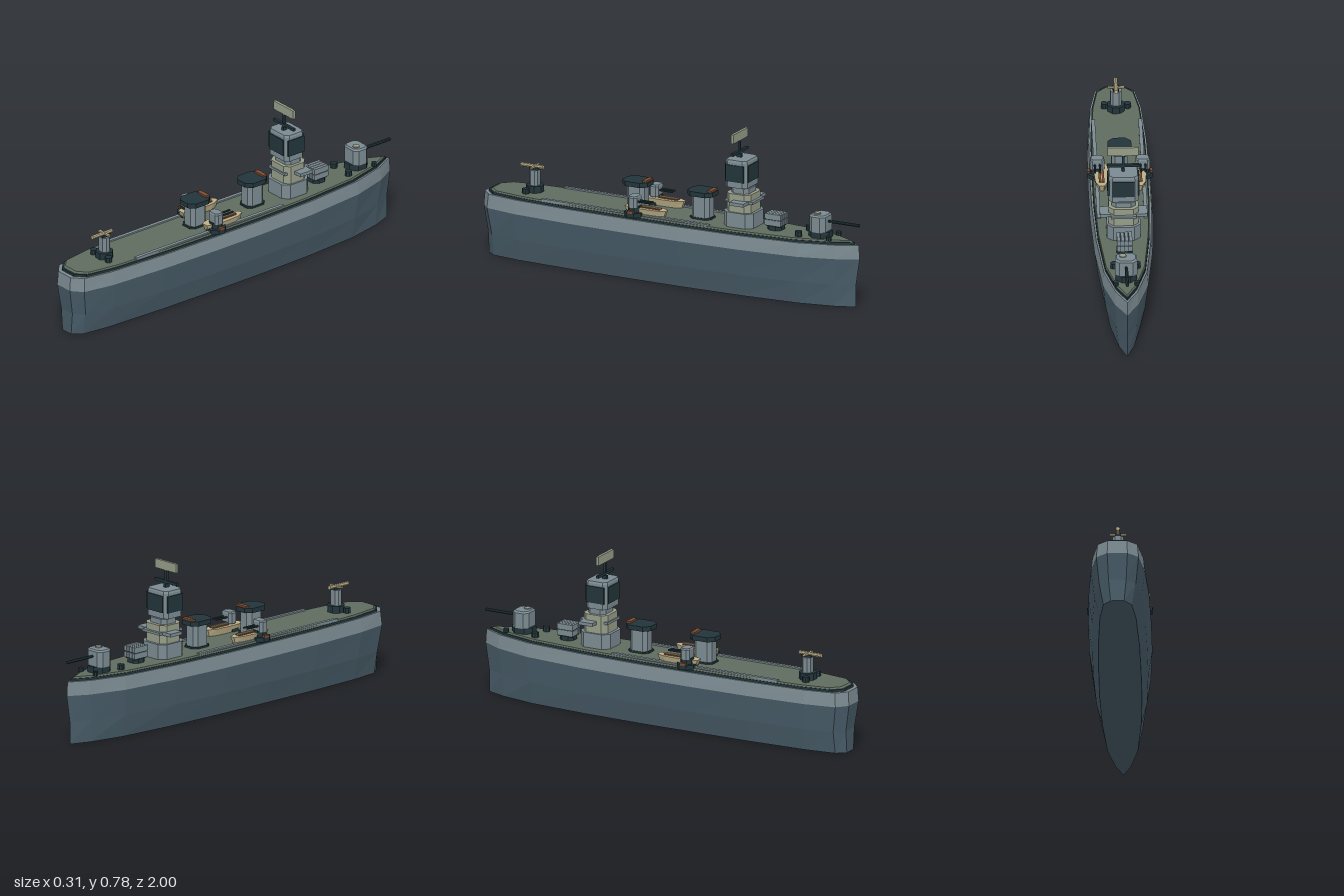
import * as THREE from 'three';

const mat = (name, color) => {
  const m = new THREE.MeshStandardMaterial({ color });
  m.name = name;
  return m;
};

// Solid lofted from one plan outline; levels are [y, scaleX, scaleZ]
function loft(outline, levels) {
  const pos = [];
  const n = outline.length;
  const at = ([y, sx, sz], i) => [outline[i % n][0] * sx, y, outline[i % n][1] * sz];
  const tri = (...p) => p.forEach((v) => pos.push(...v));
  const low = levels[0], high = levels[levels.length - 1];
  for (let i = 0; i < n; i++) {
    for (let k = 0; k < levels.length - 1; k++) {
      const a = at(levels[k], i), b = at(levels[k], i + 1);
      const c = at(levels[k + 1], i + 1), d = at(levels[k + 1], i);
      tri(a, d, b);
      tri(b, d, c);
    }
    tri([0, low[0], 0], at(low, i), at(low, i + 1));
    tri([0, high[0], 0], at(high, i + 1), at(high, i));
  }
  const g = new THREE.BufferGeometry();
  g.setAttribute('position', new THREE.Float32BufferAttribute(pos, 3));
  g.computeVertexNormals();
  return g;
}

// Mirror a starboard half outline (bow to stern) into a closed loop
const mirrored = (half) => [...half, ...half.filter((p) => p[0] > 0).reverse().map(([x, z]) => [-x, z])];

// Rectangle in plan with cut corners
const octagon = (w, d, c) => mirrored([
  [w / 2 - c, -d / 2], [w / 2, -d / 2 + c], [w / 2, d / 2 - c], [w / 2 - c, d / 2],
]);

export function createModel() {
  const root = new THREE.Group();
  root.name = 'warship';
  const M = {
    hull: mat('hull slate', 0x485c68),
    grey: mat('ship grey', 0x7b8b92),
    deck: mat('deck green', 0x5f6c5e),
    dark: mat('dark steel', 0x22353b),
    khaki: mat('khaki grey', 0x969d88),
    tan: mat('boat tan', 0xbdb08a),
    brown: mat('rust brown', 0x7d4c30),
  };

  const add = (parent, name, geo, m, x = 0, y = 0, z = 0) => {
    const mesh = new THREE.Mesh(geo, m);
    mesh.name = name;
    mesh.position.set(x, y, z);
    parent.add(mesh);
    return mesh;
  };
  const group = (name, x = 0, z = 0) => {
    const g = new THREE.Group();
    g.name = name;
    g.position.set(x, 0, z);
    root.add(g);
    return g;
  };
  // Box given by width, depth and bottom/top heights
  const box = (p, name, m, w, d, y0, y1, x = 0, z = 0) =>
    add(p, name, new THREE.BoxGeometry(w, y1 - y0, d), m, x, (y0 + y1) / 2, z);
  // Chamfered block with an optional narrower top
  const block = (p, name, m, w, d, c, y0, y1, x = 0, z = 0, top = 1) =>
    add(p, name, loft(octagon(w, d, c), [[y0, 1, 1], [y1, top, top]]), m, x, 0, z);
  // Upright faceted cylinder
  const drum = (p, name, m, r, y0, y1, x = 0, z = 0) =>
    add(p, name, loft(octagon(2 * r, 2 * r, r * 0.586), [[y0, 1, 1], [y1, 1, 1]]), m, x, 0, z);
  // Gun tube along z
  const barrel = (p, name, m, r, z0, z1, y, x = 0) => {
    const g = new THREE.CylinderGeometry(r, r, z1 - z0, 8).toNonIndexed().rotateX(Math.PI / 2);
    g.computeVertexNormals();
    return add(p, name, g, m, x, y, (z0 + z1) / 2);
  };

  // Hull and decks
  const plan = mirrored([
    [0, -1], [0.055, -0.9], [0.108, -0.72], [0.138, -0.42], [0.15, -0.1],
    [0.15, 0.2], [0.145, 0.5], [0.128, 0.8], [0.1, 0.955], [0.048, 1],
  ]);
  const ship = group('hull');
  add(ship, 'lowerHull', loft(plan, [[0, 0.67, 0.98], [0.11, 0.87, 0.98], [0.24, 1, 1]]), M.hull);
  add(ship, 'upperHull', loft(plan, [[0.24, 1, 1], [0.308, 0.945, 0.995]]), M.grey);
  add(ship, 'deckEdge', loft(plan, [[0.308, 0.89, 0.975], [0.319, 0.89, 0.975]]), M.dark);
  add(ship, 'deck', loft(plan, [[0.319, 0.87, 0.965], [0.327, 0.85, 0.955]]), M.deck);
  for (const s of [-1, 1]) box(ship, 'sideRail', M.grey, 0.018, 0.9, 0.32, 0.334, s * 0.112, 0.2);

  // Bow turret
  const bow = group('bowTurret', 0, -0.79);
  block(bow, 'turretBase', M.dark, 0.1, 0.11, 0.03, 0.325, 0.357);
  block(bow, 'turretHouse', M.grey, 0.105, 0.085, 0.02, 0.355, 0.43);
  block(bow, 'turretRoof', M.grey, 0.105, 0.085, 0.02, 0.43, 0.438, 0, 0, 0.85);
  drum(bow, 'turretHatch', M.khaki, 0.016, 0.436, 0.443, 0.015, 0.01);
  barrel(bow, 'gunBarrel', M.dark, 0.006, -0.12, -0.03, 0.405);
  barrel(bow, 'gunMuzzle', M.dark, 0.008, -0.208, -0.06, 0.405);

  // Mooring bollards
  for (const s of [-1, 1]) {
    drum(root, 'foreBollard', M.dark, 0.016, 0.325, 0.352, s * 0.055, -0.7);
    drum(root, 'bowBollard', M.dark, 0.012, 0.325, 0.345, s * 0.05, -0.86);
    drum(root, 'aftBollard', M.dark, 0.016, 0.325, 0.352, s * 0.055, 0.77);
  }

  // Box launcher with two rows of four cells
  const launcher = group('launcher', 0, -0.55);
  block(launcher, 'launcherBase', M.dark, 0.075, 0.075, 0.02, 0.325, 0.348);
  box(launcher, 'launcherCore', M.dark, 0.066, 0.076, 0.345, 0.402);
  for (let i = 0; i < 4; i++) for (const y of [0.351, 0.381])
    box(launcher, 'launcherCell', M.grey, 0.016, 0.086, y, y + 0.026, (i - 1.5) * 0.019);

  // Bridge tower
  const bridge = group('bridge', 0, -0.375);
  block(bridge, 'bridgeBase', M.grey, 0.16, 0.16, 0.03, 0.325, 0.4);
  block(bridge, 'bridgeTower', M.khaki, 0.142, 0.13, 0.025, 0.4, 0.49);
  box(bridge, 'bridgeWings', M.grey, 0.226, 0.075, 0.444, 0.46, 0, -0.02);
  box(bridge, 'wingFloor', M.grey, 0.12, 0.15, 0.446, 0.458, 0, -0.005);
  block(bridge, 'bridgeNeck', M.grey, 0.112, 0.095, 0.02, 0.49, 0.515);
  box(bridge, 'neckCollar', M.dark, 0.05, 0.05, 0.513, 0.522);
  block(bridge, 'bridgeHead', M.grey, 0.142, 0.115, 0.018, 0.52, 0.645, 0, 0.01);
  block(bridge, 'headRoof', M.grey, 0.142, 0.115, 0.018, 0.645, 0.655, 0, 0.01, 0.94);
  for (const s of [-1, 1]) {
    box(bridge, 'endWindow', M.dark, 0.104, 0.006, 0.55, 0.632, 0, 0.01 + s * 0.0595);
    box(bridge, 'sideWindow', M.dark, 0.008, 0.096, 0.55, 0.632, s * 0.072, 0.01);
  }

  // Mast and radar
  const mast = group('mast', 0, -0.352);
  box(mast, 'mastPole', M.dark, 0.012, 0.012, 0.65, 0.74);
  box(mast, 'mastFoot', M.dark, 0.014, 0.024, 0.65, 0.672);
  box(mast, 'crossbar', M.dark, 0.152, 0.014, 0.675, 0.688);
  box(mast, 'radarPanel', M.khaki, 0.147, 0.014, 0.738, 0.782);

  // Two funnels
  for (const z of [-0.155, 0.195]) {
    const f = group('funnel', 0, z);
    block(f, 'funnelBase', M.dark, 0.09, 0.11, 0.02, 0.325, 0.335);
    block(f, 'funnelBody', M.grey, 0.08, 0.094, 0.018, 0.33, 0.445);
    block(f, 'funnelCap', M.dark, 0.112, 0.135, 0.028, 0.441, 0.464);
    box(f, 'funnelVent', M.brown, 0.066, 0.022, 0.46, 0.473, 0, -0.052);
  }

  // Boats and side gun mounts, mirrored port and starboard
  const boatPlan = mirrored([[0.012, -0.11], [0.03, -0.07], [0.034, 0], [0.032, 0.07], [0.018, 0.11]]);
  for (const s of [-1, 1]) {
    const boat = group('boat', s * 0.09, 0.1);
    add(boat, 'boatHull', loft(boatPlan, [[0.327, 0.7, 0.88], [0.362, 1, 1]]), M.tan);
    box(boat, 'boatSeat', M.brown, 0.026, 0.1, 0.36, 0.367, 0, -0.025);
    box(boat, 'boatRib', M.tan, 0.008, 0.1, 0.36, 0.371, 0, -0.025);

    const gun = group('sideGun', s * 0.108, 0.155);
    drum(gun, 'gunBase', M.dark, 0.046, 0.32, 0.342);
    drum(gun, 'gunRing', M.dark, 0.03, 0.34, 0.372);
    box(gun, 'gunStep', M.brown, 0.014, 0.03, 0.341, 0.353, s * 0.041);
    block(gun, 'gunHouse', M.grey, 0.068, 0.05, 0.012, 0.366, 0.414);
    block(gun, 'gunRoof', M.grey, 0.068, 0.05, 0.012, 0.414, 0.421, 0, 0, 0.85);
    for (const k of [-1, 1]) barrel(gun, 'gunBarrel', M.dark, 0.005, -0.095, -0.015, 0.395, k * 0.012);
  }

  // Stern gun
  const stern = group('sternGun', 0, 0.75);
  drum(stern, 'mountBase', M.dark, 0.04, 0.325, 0.36);
  block(stern, 'mountPost', M.grey, 0.054, 0.045, 0.012, 0.36, 0.435);
  box(stern, 'gunCradle', M.dark, 0.03, 0.05, 0.435, 0.447);
  box(stern, 'gunCrossbar', M.tan, 0.08, 0.012, 0.446, 0.454);
  barrel(stern, 'gunTube', M.tan, 0.01, -0.045, 0.075, 0.45);
  return root;
}
